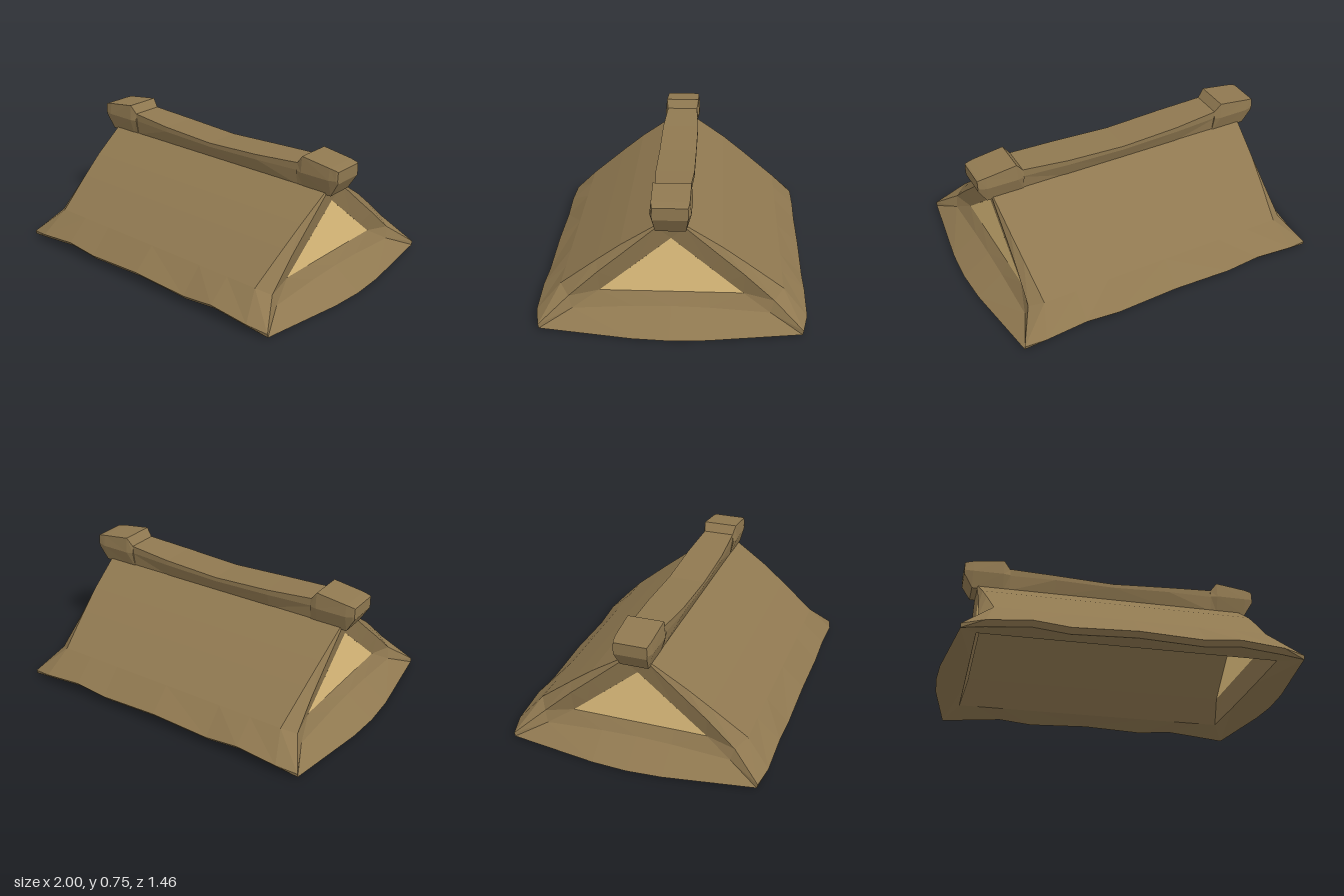
import * as THREE from 'three';

// Triangles from a grid of points (rows run down, columns run right as seen from outside)
function gridTris(rows) {
  const tris = [];
  for (let r = 0; r < rows.length - 1; r++) {
    for (let c = 0; c < rows[r].length - 1; c++) {
      const p = rows[r][c], q = rows[r + 1][c], s = rows[r + 1][c + 1], t = rows[r][c + 1];
      tris.push([p, q, s], [p, s, t]);
    }
  }
  return tris;
}

// Mesh made of triangles repeated for each [xSign, zSign], winding corrected
function mirroredMesh(name, tris, material, signs) {
  const pos = [];
  for (const [sx, sz] of signs) {
    for (const [a, b, c] of tris) {
      for (const p of sx * sz > 0 ? [a, b, c] : [a, c, b]) pos.push(p[0] * sx, p[1], p[2] * sz);
    }
  }
  const geometry = new THREE.BufferGeometry();
  geometry.setAttribute('position', new THREE.Float32BufferAttribute(pos, 3));
  geometry.computeVertexNormals();
  const mesh = new THREE.Mesh(geometry, material);
  mesh.name = name;
  return mesh;
}

// Six-sided timber lofted along x; station: [x, yBottom, yMid, yTop, halfBottom, halfMid, halfTop]
function timberTris(stations) {
  const loops = stations.map(([x, yb, ym, yt, hb, hm, ht]) => [
    [x, yt, ht], [x, ym, hm], [x, yb, hb], [x, yb, -hb], [x, ym, -hm], [x, yt, -ht],
  ]);
  const rows = [0, 1, 2, 3, 4, 5, 0].map((i) => loops.map((loop) => loop[i]));
  const tris = gridTris(rows);
  const first = loops[0], last = loops[loops.length - 1];
  for (let i = 1; i < 5; i++) {
    tris.push([last[0], last[i], last[i + 1]], [first[0], first[i + 1], first[i]]);
  }
  return tris;
}

export function createModel() {
  const wood = new THREE.MeshStandardMaterial({ color: 0x8f7850, flatShading: true, side: THREE.DoubleSide });
  wood.name = 'brown thatch';
  const tan = new THREE.MeshStandardMaterial({ color: 0xeecb85, flatShading: true, side: THREE.DoubleSide });
  tan.name = 'tan panel';

  const group = new THREE.Group();
  group.name = 'roof';
  const quarters = [[1, 1], [-1, 1], [1, -1], [-1, -1]];
  const ends = [[1, 1], [-1, 1]];

  // Slope profile [y, z] from the ridge down, and wavy eave heights [x, y]
  const profile = [[0.58, 0.075], [0.45, 0.27], [0.35, 0.4], [0.19, 0.6]];
  const eave = [[0, 0.04], [0.36, 0.025], [0.56, 0.045], [0.8, 0.022]];
  const borderX = [0.805, 0.79, 0.775, 0.75];

  // Flared outer rim of the gable, top to bottom
  const rim = [
    [0.81, 0.568, 0.075], [0.812, 0.405, 0.265], [0.815, 0.3, 0.39],
    [0.825, 0.155, 0.55], [0.92, 0.03, 0.705], [0.92, 0.008, 0.7],
  ];

  // Outer slopes, with the bevel towards the rim and the thick eave edge
  const slopeRows = profile.map(([y, z], i) => [
    ...eave.map(([x], c) => [c === 3 ? borderX[i] : x, y, z]), rim[i],
  ]);
  slopeRows.push([...eave.map(([x, y]) => [x, y + 0.028, 0.73]), rim[4]]);
  slopeRows.push([...eave.map(([x, y]) => [x, y, 0.705]), rim[5]]);
  group.add(mirroredMesh('roofSlopes', gridTris(slopeRows), wood, quarters));

  // Underside of the slopes
  const panelX = 0.795;
  const innerRow = (y, z, endX) => [0, 0.36, 0.56, 0.72, endX].map((x) => [x, y, z]);
  const innerRows = [
    innerRow(0.5, 0, panelX), innerRow(0.18, 0.385, panelX), innerRow(0.06, 0.54, 0.83), slopeRows[5],
  ].map((row) => [...row].reverse());
  group.add(mirroredMesh('roofUnderside', gridTris(innerRows), wood, quarters));

  // Skirt below the panel: a steep wall that flares out to the ground
  const apex = [panelX, 0.5, 0], corner = [panelX, 0.18, 0.385];
  const panelBase = [corner, [panelX, 0.18, 0.2], [panelX, 0.18, 0]];
  const skirtEdge = [rim[5], [0.99, 0.002, 0.2], [1, 0, 0]];
  const skirtMiddle = [[0.84, 0.09, 0.53], [0.838, 0.11, 0.2], [0.838, 0.115, 0]];
  group.add(mirroredMesh('gableSkirts', gridTris([panelBase, skirtMiddle, skirtEdge]), wood, quarters));

  // Broad frame around the gable panel, joined to the ends of the skirt
  const panelEdge = [apex, [panelX, 0.33, 0.205], [panelX, 0.25, 0.3], corner, skirtMiddle[0], rim[5]];
  const frameRows = [[[0.81, 0.575, 0], apex], ...rim.map((p, i) => [p, panelEdge[i]])];
  group.add(mirroredMesh('gableFrames', gridTris(frameRows), wood, quarters));

  // Steep inner wall and thick lower edge of the skirt
  const skirtInner = [[0.83, 0.06, 0.54], [0.83, 0.055, 0.2], [0.83, 0.055, 0]];
  group.add(mirroredMesh('skirtUndersides', gridTris([skirtEdge, skirtInner, panelBase]), wood, quarters));

  // Triangular gable panels
  group.add(mirroredMesh('gablePanels', [[apex, corner, [panelX, 0.18, -0.385]]], tan, ends));

  // Sagging ridge beam
  const beam = [
    [0, 0.565, 0.645, 0.668, 0.078, 0.108, 0.108],
    [0.35, 0.565, 0.655, 0.685, 0.078, 0.108, 0.108],
    [0.64, 0.563, 0.66, 0.705, 0.078, 0.092, 0.092],
  ];
  group.add(mirroredMesh('ridgeBeam', timberTris(beam), wood, ends));

  // Chunky caps at both ends of the beam
  const cap = [
    [0.62, 0.563, 0.66, 0.7, 0.08, 0.1, 0.092],
    [0.66, 0.562, 0.66, 0.752, 0.08, 0.11, 0.102],
    [0.84, 0.562, 0.66, 0.728, 0.08, 0.108, 0.1],
    [0.88, 0.63, 0.665, 0.72, 0.09, 0.1, 0.095],
    [0.89, 0.647, 0.67, 0.715, 0.092, 0.095, 0.092],
  ];
  group.add(mirroredMesh('ridgeCaps', timberTris(cap), wood, ends));

  return group;
}
